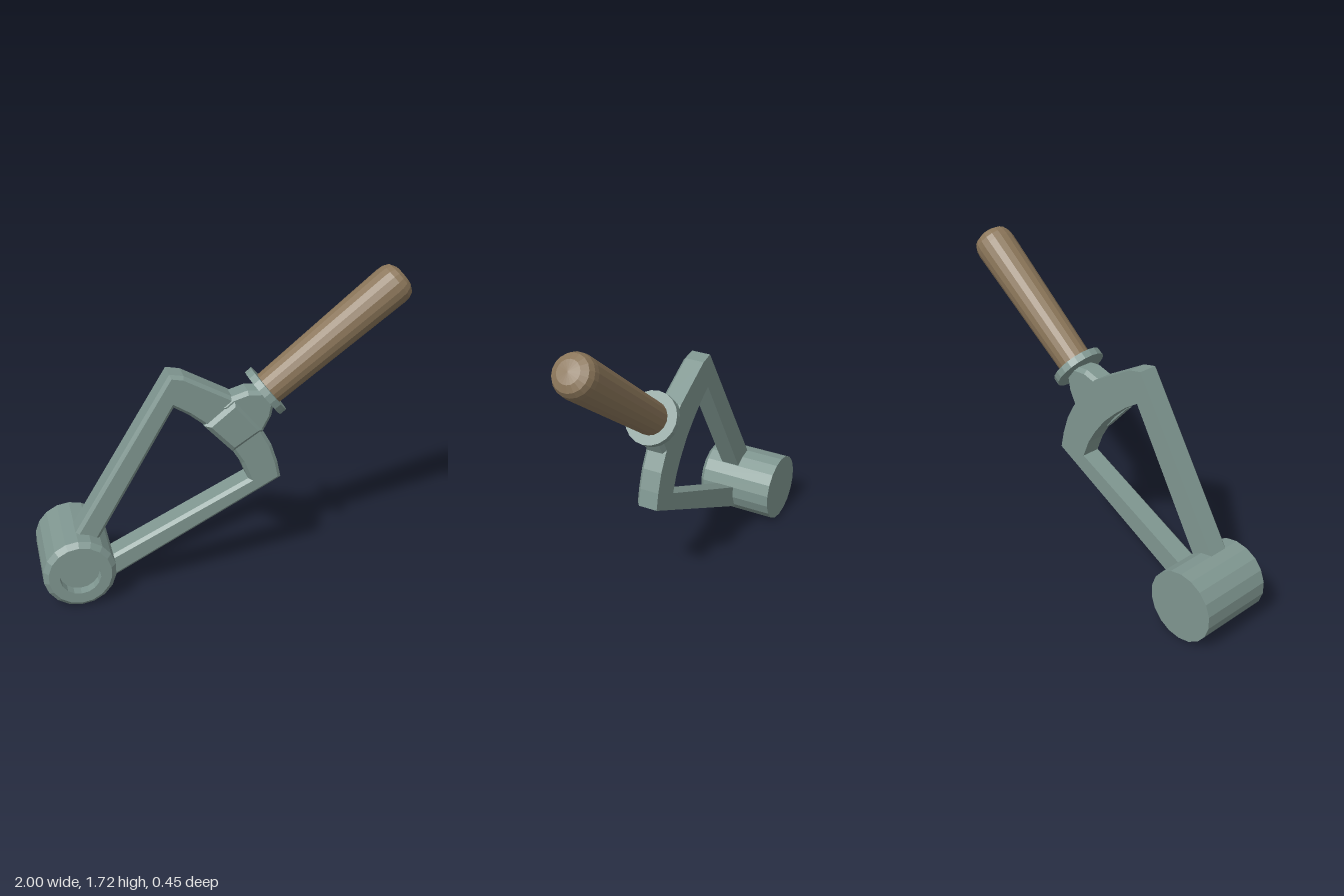
import * as THREE from 'three';

const metal = new THREE.MeshStandardMaterial({ color: 0x7f9690 });
metal.name = 'greyGreenMetal';
const wood = new THREE.MeshStandardMaterial({ color: 0x8a7559 });
wood.name = 'brownWood';

const vectors = (points) => points.map(([x, y]) => new THREE.Vector2(x, y));

function addMesh(parent, name, geometry, material) {
  const mesh = new THREE.Mesh(geometry, material);
  mesh.name = name;
  parent.add(mesh);
  return mesh;
}

// Facet a geometry so every face has its own normal
function faceted(geometry) {
  const flat = geometry.index ? geometry.toNonIndexed() : geometry;
  flat.computeVertexNormals();
  return flat;
}

// Plate from z0 to z1 with chamfered front edges, and optionally back edges
function plate(outline, z0, z1, bevel, { hole, backBevel = false } = {}) {
  const shape = new THREE.Shape(vectors(outline));
  if (hole) shape.holes.push(new THREE.Path(vectors(hole)));
  const geometry = new THREE.ExtrudeGeometry(shape, {
    depth: z1 - z0 - bevel * (backBevel ? 2 : 1),
    bevelEnabled: true, bevelSegments: 1,
    bevelSize: bevel, bevelThickness: bevel, bevelOffset: -bevel,
  });
  const p = geometry.attributes.position;
  for (let i = 0; i < p.count; i++) {
    const z = backBevel ? p.getZ(i) + bevel : Math.max(0, p.getZ(i));
    p.setZ(i, z + z0);
  }
  return faceted(geometry);
}

export function createModel() {
  const model = new THREE.Group();
  model.name = 'crankLever';

  // Hub with a chamfered front rim and a round recess
  const hub = faceted(new THREE.LatheGeometry(vectors([
    [0, -0.228], [0.195, -0.228], [0.195, 0.2], [0.168, 0.226],
    [0.11, 0.226], [0.11, 0.17], [0, 0.17],
  ]), 18));
  hub.rotateX(Math.PI / 2);
  addMesh(model, 'hub', hub, metal).position.set(-0.808, 0.195, 0);

  // Open sector frame: two arms joined by an arc, their roots buried in the hub
  const frameOutline = [
    [-0.7, 0.06], [-0.6, 0.105], [0.31, 0.59], [0.29, 0.685], [0.255, 0.79],
    [0.205, 0.88], [0.13, 0.99], [0.04, 1.09], [-0.215, 1.23], [-0.29, 1.245],
    [-0.81, 0.39], [-0.88, 0.26],
  ];
  const frameHole = [
    [-0.718, 0.29], [-0.27, 1.06], [-0.19, 1.01], [-0.11, 0.945],
    [-0.03, 0.87], [0.04, 0.78], [0.09, 0.7], [0.13, 0.6], [-0.69, 0.194],
  ];
  addMesh(model, 'frame', plate(frameOutline, 0, 0.125, 0.018, { hole: frameHole }), metal);

  // Raised pad on the arc, at the root of the handle
  const padOutline = [[-0.115, 0.945], [0.04, 0.78], [0.205, 0.89], [0.05, 1.08]];
  addMesh(model, 'handlePad', plate(padOutline, 0.08, 0.147, 0.025), metal);

  // Neck joining the arc to the collar
  const neckOutline = [
    [-0.03, 1.04], [0.12, 0.88], [0.2, 0.865], [0.25, 0.96], [0.265, 1.04],
    [0.21, 1.11], [0.12, 1.117], [0.03, 1.09],
  ];
  addMesh(model, 'neck', plate(neckOutline, 0, 0.13, 0.02, { backBevel: true }), metal);

  // Collar and tapered grip, sharing the handle's axis
  const handle = new THREE.Group();
  handle.name = 'handle';
  handle.position.set(0.23, 1.085, 0.063);
  handle.rotation.z = -THREE.MathUtils.degToRad(51.7);
  model.add(handle);
  addMesh(handle, 'collar', faceted(new THREE.CylinderGeometry(0.145, 0.145, 0.04, 20)), metal);
  addMesh(handle, 'grip', faceted(new THREE.LatheGeometry(vectors([
    [0, 0.01], [0.092, 0.01], [0.111, 0.84], [0.108, 0.875], [0.094, 0.905],
    [0.06, 0.924], [0, 0.93],
  ]), 18)), wood);

  return model;
}
